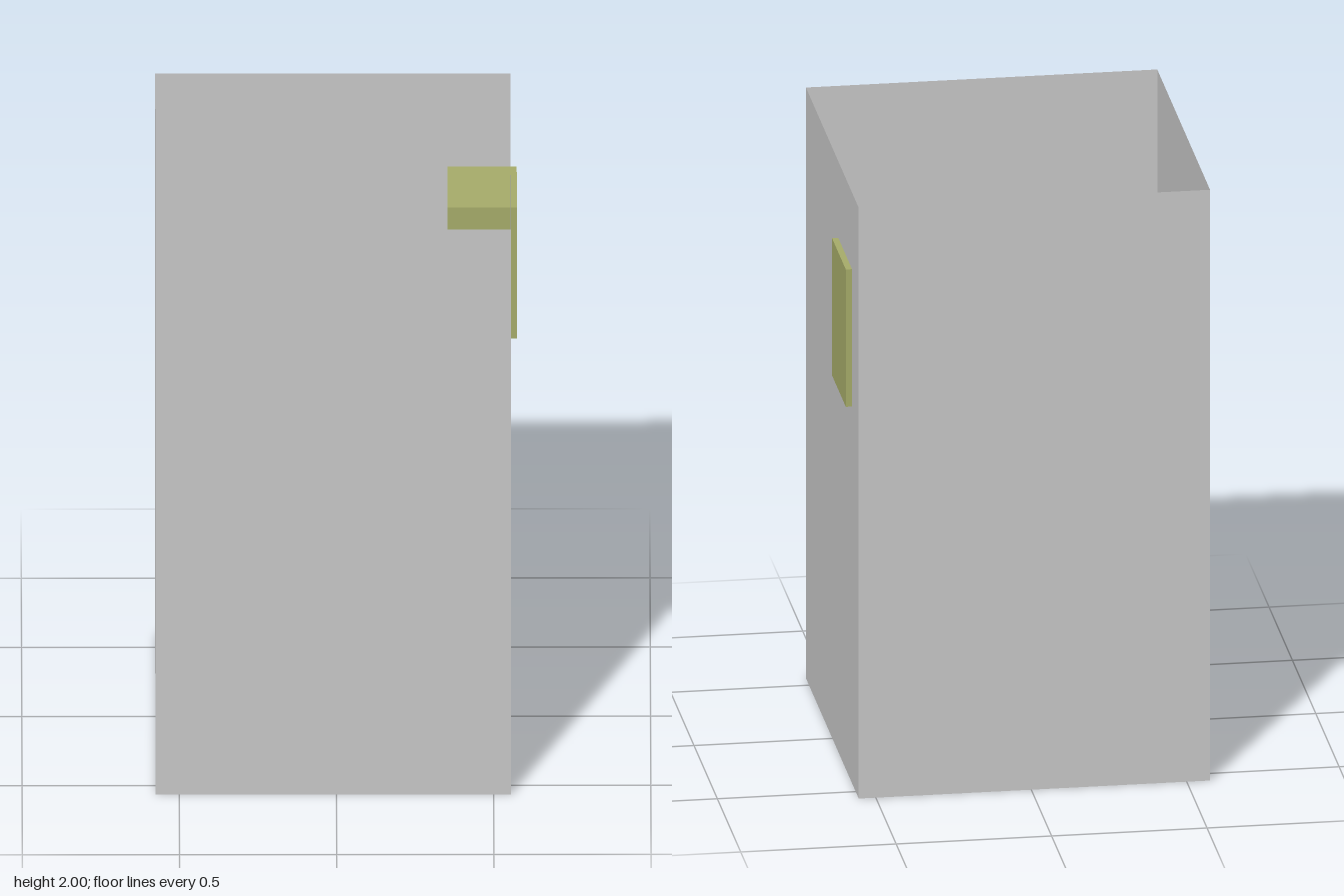
import * as THREE from 'three';

export function createModel() {
  const model = new THREE.Group();
  model.name = 'openBin';

  const grey = new THREE.MeshStandardMaterial({ color: 0xc6c6c6, side: THREE.DoubleSide });
  grey.name = 'light grey';
  const olive = new THREE.MeshStandardMaterial({ color: 0xa5ab69 });
  olive.name = 'olive';

  const width = 1.13, height = 2, centreX = -0.01;

  // A thin sheet, turned about one axis
  function sheet(name, h, x, y, z, rx, ry) {
    const mesh = new THREE.Mesh(new THREE.PlaneGeometry(width, h), grey);
    mesh.name = name;
    mesh.position.set(centreX + x, y, z);
    mesh.rotation.set(rx, ry, 0);
    model.add(mesh);
  }

  // Four walls around an open top
  ['frontWall', 'leftWall', 'backWall', 'rightWall'].forEach((name, i) => {
    const a = i * Math.PI / 2;
    sheet(name, height, Math.sin(a) * width / 2, height / 2, Math.cos(a) * width / 2, 0, a);
  });

  // Floor
  sheet('floor', width, 0, 0, 0, Math.PI / 2, 0);

  // Block set through the left wall, mostly inside
  const block = new THREE.Mesh(new THREE.BoxGeometry(0.22, 0.465, 0.295), olive);
  block.name = 'wallBlock';
  block.position.set(0.465, 1.508, -0.274);
  model.add(block);

  return model;
}
